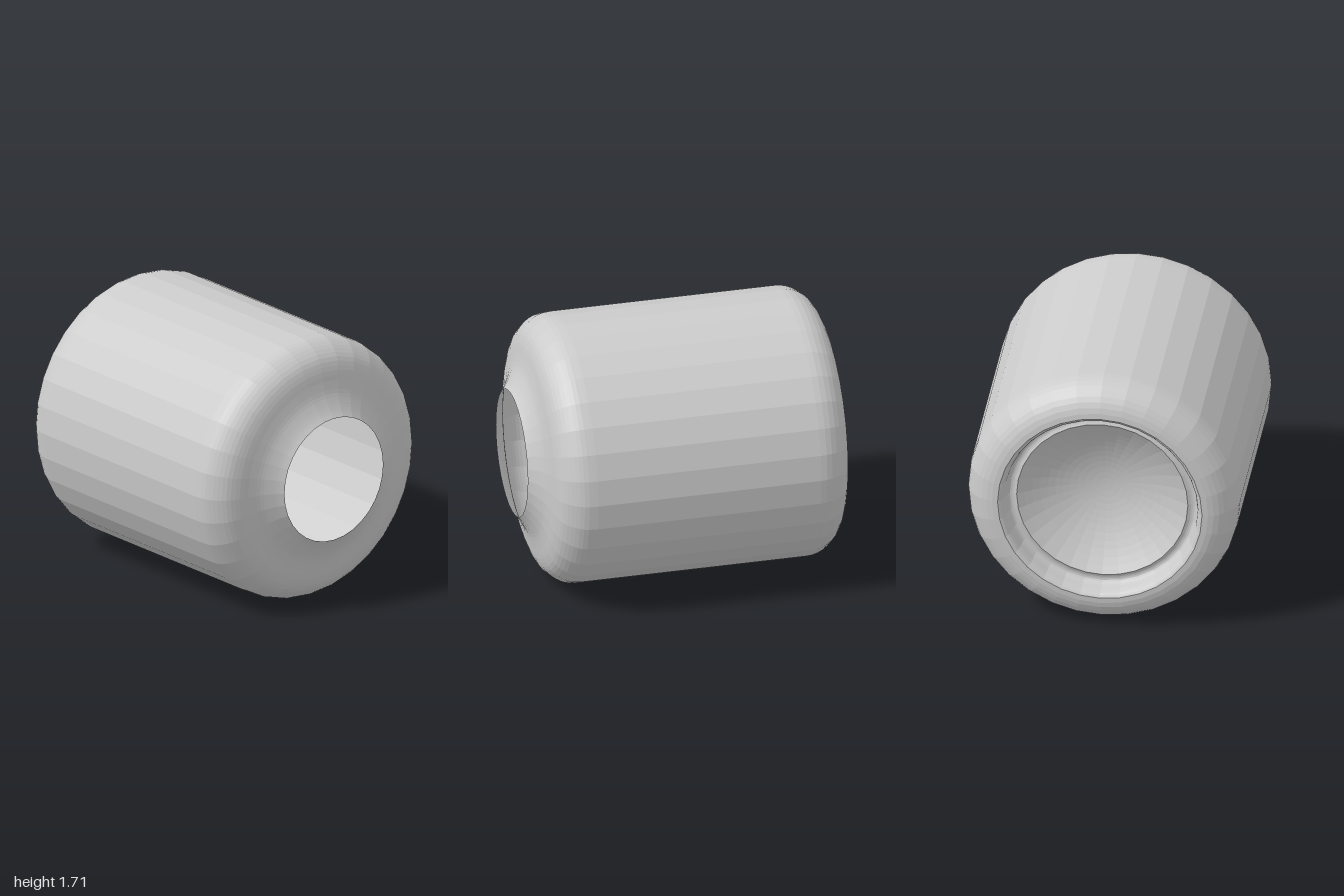
import * as THREE from 'three';

const SEGMENTS = 32;
const RADIUS = 0.857;

// Facetted surface of revolution about the z axis; profile points are [radius, z]
function turned(name, points, material) {
  const geometry = new THREE.LatheGeometry(points.map(([r, z]) => new THREE.Vector2(r, z)), SEGMENTS);
  geometry.rotateX(Math.PI / 2);
  const mesh = new THREE.Mesh(geometry, material);
  mesh.name = name;
  mesh.position.y = RADIUS;
  return mesh;
}

// Smooth curve through a few profile points
function smooth(points, divisions) {
  const curve = new THREE.SplineCurve(points.map(([r, z]) => new THREE.Vector2(r, z)));
  return curve.getPoints(divisions).map((p) => [p.x, p.y]);
}

export function createModel() {
  const group = new THREE.Group();
  group.name = 'hollowCan';
  const material = new THREE.MeshStandardMaterial({
    color: 0xcccccc, flatShading: true, side: THREE.DoubleSide,
  });

  // Rounded heel between the wall and the back rim
  const heel = [];
  for (let i = 0; i <= 9; i++) {
    const a = (i / 9) * Math.PI / 2;
    heel.push([0.645 + 0.212 * Math.sin(a), -0.78 - 0.22 * Math.cos(a)]);
  }
  group.add(turned('heel', heel, material));

  // Straight side wall
  group.add(turned('sideWall', [[RADIUS, -0.78], [RADIUS, 0.66]], material));

  // Rounded shoulder sweeping into the flared neck, open at the front
  const shoulder = smooth([
    [RADIUS, 0.66], [0.848, 0.735], [0.815, 0.8], [0.76, 0.855], [0.69, 0.885],
    [0.61, 0.902], [0.54, 0.92], [0.485, 0.945], [0.44, 0.972], [0.405, 1],
  ], 24);
  group.add(turned('shoulderAndNeck', shoulder, material));

  // Recessed wall and groove inside the back rim
  const recess = smooth([
    [0.645, -1], [0.625, -0.985], [0.612, -0.95], [0.605, -0.91],
    [0.59, -0.88], [0.565, -0.875], [0.54, -0.885],
  ], 14);
  group.add(turned('recessWall', recess, material));

  // Dome pushed into the can
  const dome = [];
  for (let i = 0; i <= 12; i++) {
    const r = 0.54 * (1 - i / 12);
    dome.push([r, -0.69 - 0.195 * (r / 0.54) ** 2]);
  }
  group.add(turned('baseDome', dome, material));

  return group;
}
